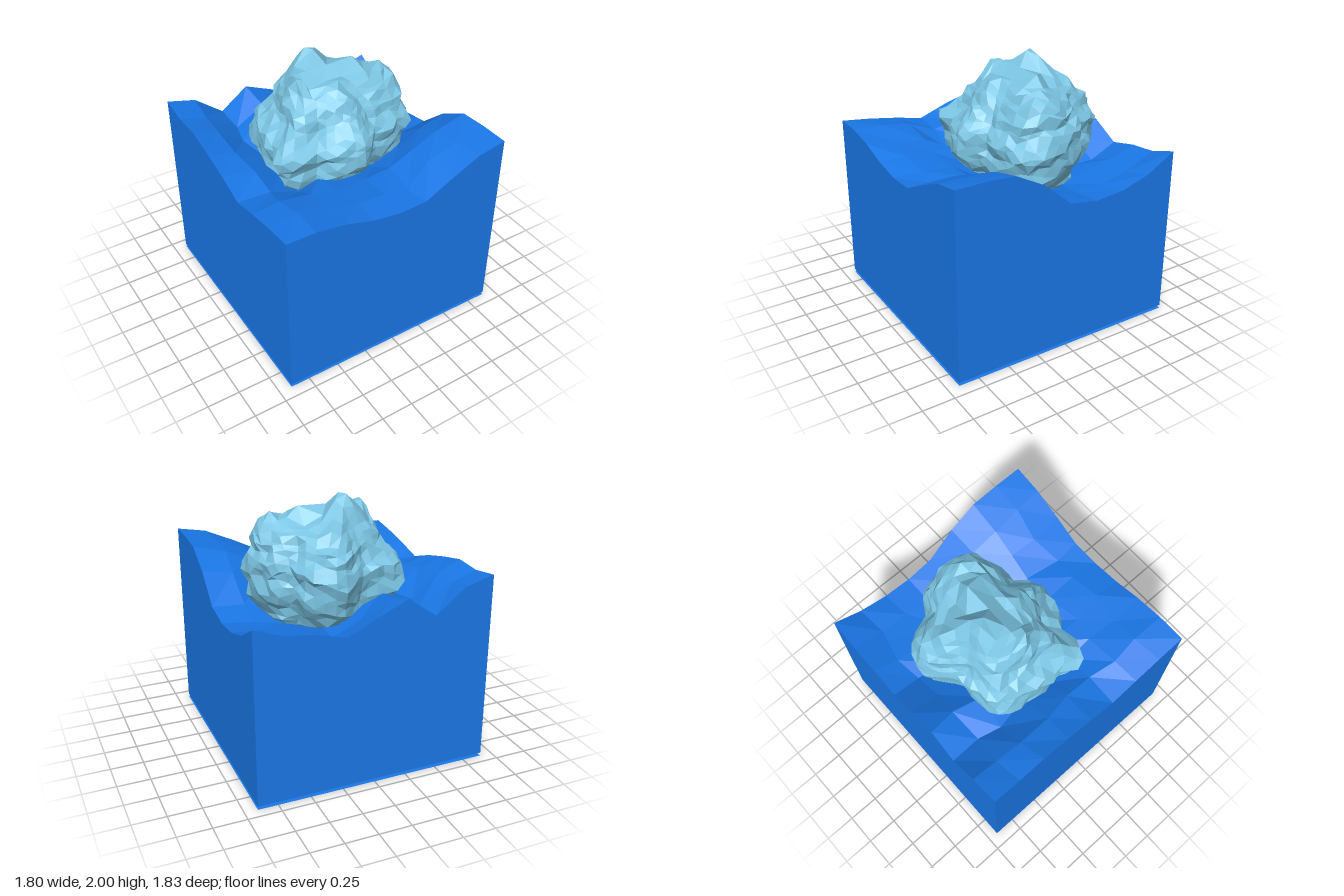
import * as THREE from 'three';

const N = 8; // water grid cells per side
const X0 = -0.902, X1 = 0.902, Z0 = -0.922, Z1 = 0.91;

// water height along the four edges, from -x to +x or from -z to +z
const FRONT = [1.38, 1.38, 1.345, 1.28, 1.245, 1.255, 1.37, 1.475, 1.52];
const BACK = [1.48, 1.42, 1.24, 1.40, 1.30, 1.19, 1.25, 1.28, 1.36];
const LEFT = [1.48, 1.44, 1.45, 1.40, 1.34, 1.26, 1.31, 1.35, 1.38];
const RIGHT = [1.36, 1.23, 1.16, 1.14, 1.18, 1.38, 1.505, 1.52, 1.52];

// repeatable noise in -1..1 from a position
function hash(a, b, c) {
  const s = Math.sin(a * 12.9898 + b * 78.233 + c * 37.719) * 43758.5453;
  return (s - Math.floor(s)) * 2 - 1;
}

// surface point of the water at grid cell corner (i, j), blended from the edges
function waterPoint(i, j) {
  const u = i / N, v = j / N;
  const edges = (1 - v) * BACK[i] + v * FRONT[i] + (1 - u) * LEFT[j] + u * RIGHT[j];
  const corners = (1 - u) * ((1 - v) * BACK[0] + v * FRONT[0]) + u * ((1 - v) * BACK[N] + v * FRONT[N]);
  const inside = i > 0 && i < N && j > 0 && j < N ? 1 : 0;
  const swell = 0.3 * u * (1 - u) * v * (1 - v);
  return new THREE.Vector3(
    X0 + (X1 - X0) * u + inside * 0.035 * hash(i, j, 1),
    edges - corners + swell + inside * 0.015 * hash(i, j, 2),
    Z0 + (Z1 - Z0) * v + inside * 0.035 * hash(i, j, 3));
}

// plane whose vertices are placed by a rule on (column, row)
function sheet(cols, rows, rule) {
  const geo = new THREE.PlaneGeometry(1, 1, cols, rows);
  const pos = geo.attributes.position;
  for (let r = 0, k = 0; r <= rows; r++) {
    for (let c = 0; c <= cols; c++, k++) {
      const p = rule(c, r);
      pos.setXYZ(k, p.x, p.y, p.z);
    }
  }
  geo.computeVertexNormals();
  return geo;
}

// outline of the iceberg seen from above, as [x, z]
const OUTLINE = [
  [-0.58, 0.17], [-0.5, 0.07], [-0.52, -0.05], [-0.5, -0.2], [-0.48, -0.35], [-0.42, -0.47],
  [-0.25, -0.52], [-0.1, -0.52], [0, -0.6], [0.13, -0.69], [0.24, -0.7], [0.33, -0.62],
  [0.4, -0.52], [0.42, -0.4], [0.55, -0.35], [0.6, -0.25], [0.65, -0.13], [0.65, 0],
  [0.6, 0.18], [0.4, 0.26], [0.2, 0.28], [0.13, 0.38], [0.02, 0.42], [-0.15, 0.37],
  [-0.28, 0.27], [-0.47, 0.29],
];
// crags standing on the iceberg's dome, as [x, z, height, spread]
const CRAGS = [
  [-0.03, -0.25, 0.26, 0.13], [-0.25, -0.08, 0.15, 0.09], [0.28, -0.08, 0.12, 0.08],
  [0.52, 0, 0.14, 0.13], [0.12, -0.45, 0.1, 0.08], [0, 0.08, 0.07, 0.08],
];
const CX = 0.05, CY = 1.44, CZ = -0.13;
const polar = OUTLINE.map(([x, z]) => [Math.atan2(z - CZ, x - CX), Math.hypot(x - CX, z - CZ)])
  .sort((a, b) => a[0] - b[0]);

function outlineRadius(angle) {
  const n = polar.length;
  let k = polar.findIndex((p) => p[0] > angle);
  if (k < 0) k = n;
  const a = polar[(k + n - 1) % n], b = polar[k % n];
  const a0 = k === 0 ? a[0] - 2 * Math.PI : a[0];
  const b0 = k === n ? b[0] + 2 * Math.PI : b[0];
  return a[1] + (b[1] - a[1]) * (angle - a0) / (b0 - a0);
}

function icebergGeometry() {
  const geo = new THREE.IcosahedronGeometry(1, 7);
  const pos = geo.attributes.position;
  const d = new THREE.Vector3();
  for (let i = 0; i < pos.count; i++) {
    d.fromBufferAttribute(pos, i).normalize();
    const flat = Math.hypot(d.x, d.z);
    const angle = flat < 1e-4 ? 0 : Math.atan2(d.z, d.x);
    const side = Math.cos(angle), front = Math.max(Math.sin(angle), 0);
    const key = [d.x, d.y, d.z].map((q) => Math.round(q * 500));
    // steep shoulders toward both x ends; the -x end flares out at its foot, the front leans back
    const power = 0.85 - 0.35 * Math.abs(side);
    const rise = THREE.MathUtils.smoothstep(d.y, 0.05, 0.45);
    const pinch = 1 - (0.22 * Math.max(-side, 0) + 0.12 * front) * rise;
    const lumps = 0.03 * Math.sin(d.y * 11 + 2 * Math.sin(angle * 3)) + 0.035 * hash(...key);
    const reach = outlineRadius(angle) * Math.pow(flat, power) * pinch * (1 + lumps - 0.015);
    const x = CX + reach * Math.cos(angle), z = CZ + reach * Math.sin(angle);
    let y = CY + (d.y > 0 ? 0.37 : 0.45) * d.y + 0.022 * hash(key[2], key[0], key[1]);
    for (const [cx, cz, height, spread] of CRAGS) {
      y += Math.max(d.y, 0) * height * Math.exp(-((x - cx) ** 2 + (z - cz) ** 2) / spread ** 2);
    }
    pos.setXYZ(i, x, Math.min(y, 2), z);
  }
  geo.computeVertexNormals();
  return geo;
}

export function createModel() {
  const model = new THREE.Group();
  model.name = 'icebergInWater';
  const water = new THREE.MeshStandardMaterial({ color: 0x1a78e8, flatShading: true, side: THREE.DoubleSide });
  water.name = 'water blue';
  const ice = new THREE.MeshStandardMaterial({ color: 0x7cc6e4, flatShading: true });
  ice.name = 'ice blue';
  const add = (name, geo, mat) => {
    const mesh = new THREE.Mesh(geo, mat);
    mesh.name = name;
    model.add(mesh);
  };

  add('waterSurface', sheet(N, N, waterPoint), water);

  // walls hang from the wave edge, each listed in outward-facing order
  const walls = {
    frontWall: (c) => waterPoint(c, N),
    backWall: (c) => waterPoint(N - c, 0),
    rightWall: (c) => waterPoint(N, N - c),
    leftWall: (c) => waterPoint(0, c),
  };
  for (const [name, edge] of Object.entries(walls)) {
    add(name, sheet(N, 1, (c, r) => {
      const p = edge(c);
      if (r === 1) p.y = 0.025;
      return p;
    }), water);
  }

  // floor sheet just below the walls
  add('floor', sheet(1, 1, (c, r) => new THREE.Vector3(c ? X1 : X0, 0, r ? Z0 : Z1)), water);

  add('iceberg', icebergGeometry(), ice);
  return model;
}
